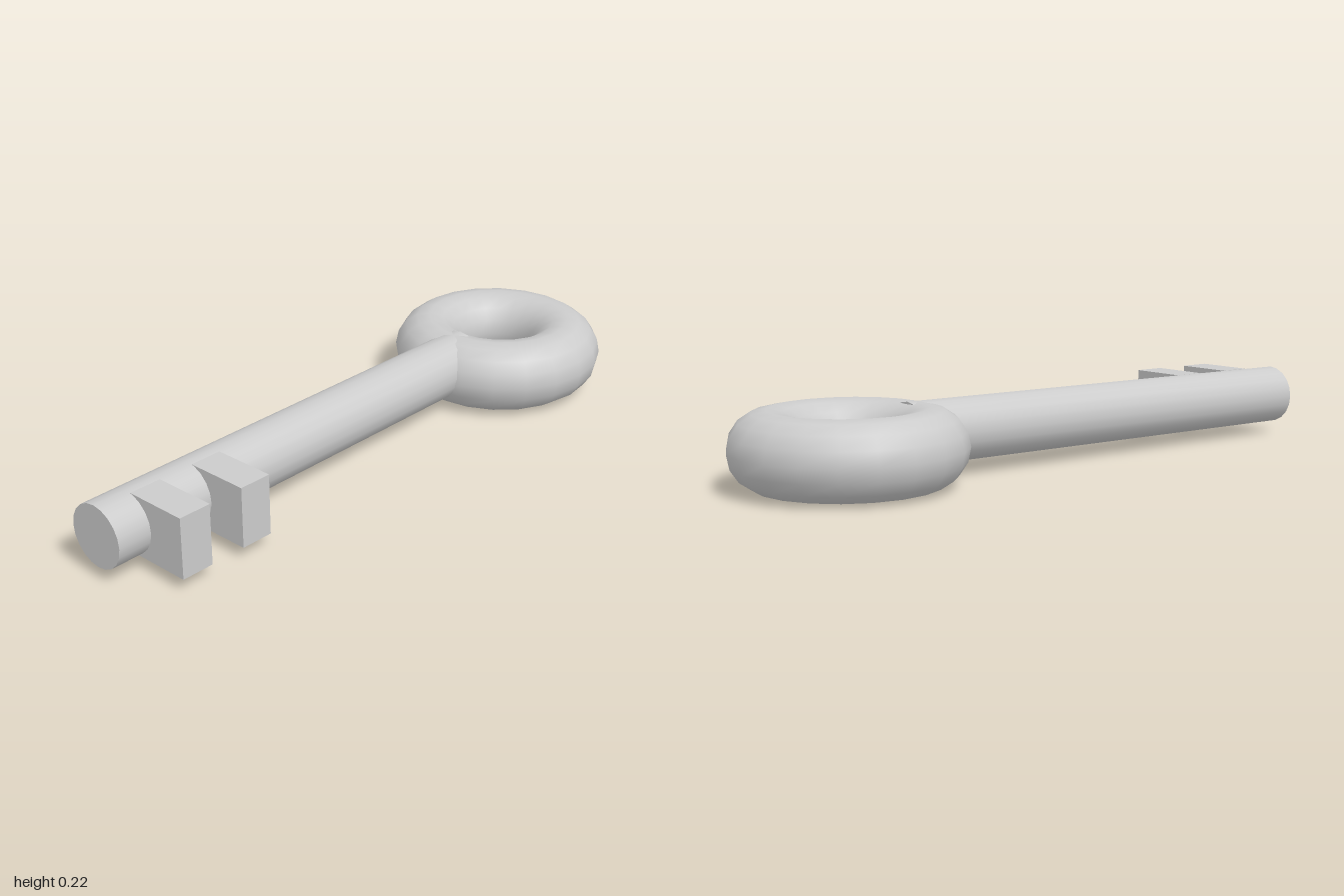
import * as THREE from 'three';

export function createModel() {
  const model = new THREE.Group();
  const material = new THREE.MeshStandardMaterial({ color: 0xcccccc });

  const addPart = (name, geometry) => {
    const mesh = new THREE.Mesh(geometry, material);
    mesh.name = name;
    model.add(mesh);
    return mesh;
  };

  // Ring-shaped handle lying flat
  const bow = addPart('bow', new THREE.TorusGeometry(0.222, 0.111, 16, 20));
  bow.rotation.x = -Math.PI / 2;
  bow.position.set(0, 0.111, -0.667);

  // Round shaft, very slightly skewed, sunk into the ring
  const tip = new THREE.Vector3(0.003, 0.125, 1);
  const root = new THREE.Vector3(-0.005, 0.13, -0.48);
  const axis = tip.clone().sub(root);
  const shaft = addPart('shaft', new THREE.CylinderGeometry(0.0925, 0.0925, axis.length(), 20));
  shaft.position.copy(tip).add(root).multiplyScalar(0.5);
  shaft.quaternion.setFromUnitVectors(new THREE.Vector3(0, 1, 0), axis.normalize());

  // Two square teeth on the left side
  [0.635, 0.845].forEach((z, i) => {
    const tooth = addPart(i ? 'frontTooth' : 'rearTooth', new THREE.BoxGeometry(0.192, 0.18, 0.1));
    tooth.position.set(0.117, 0.126, z);
  });

  return model;
}
